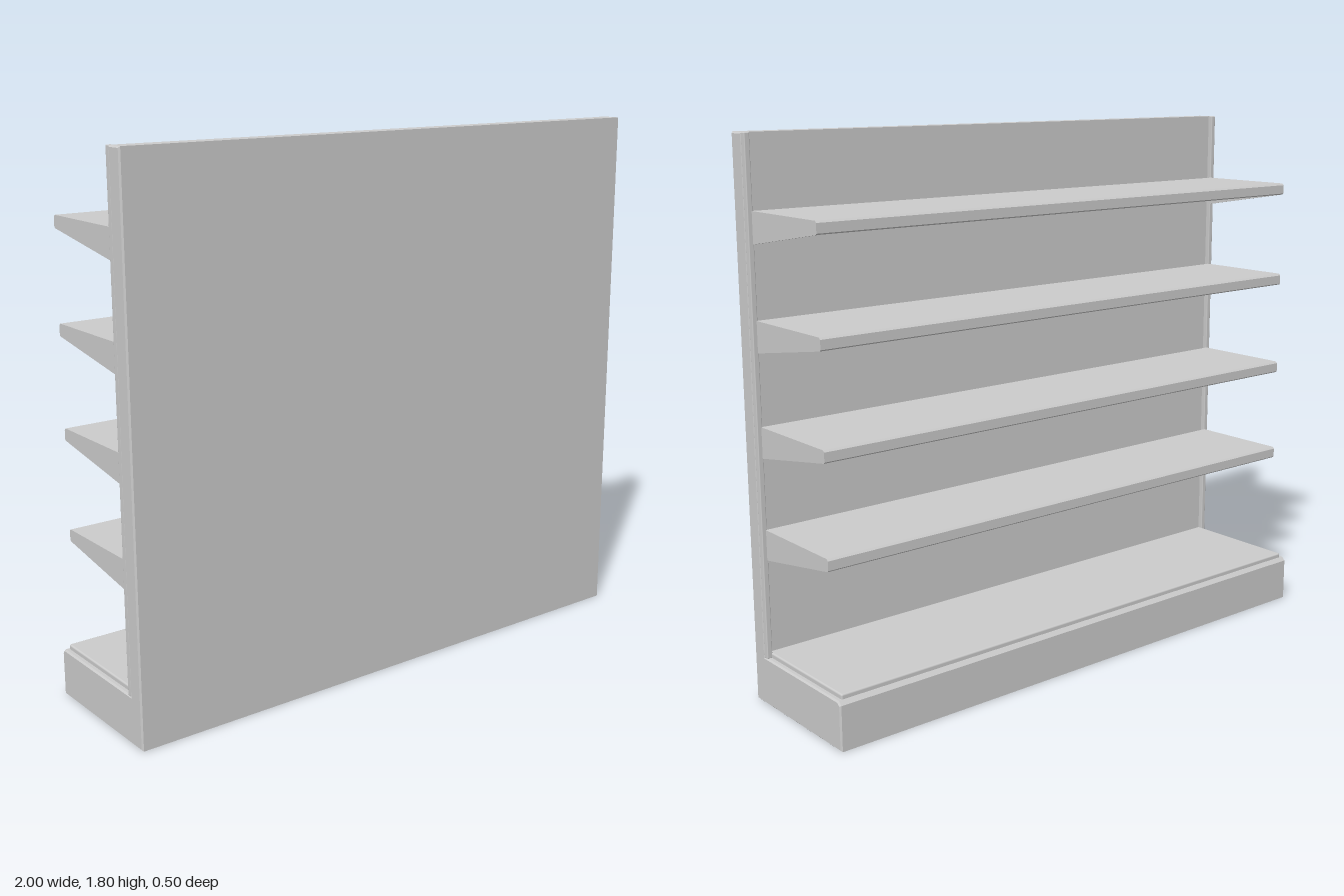
import * as THREE from 'three';
import { RoundedBoxGeometry } from 'three/addons/geometries/RoundedBoxGeometry.js';

const material = new THREE.MeshStandardMaterial({ color: 0xcccccc });

function add(parent, name, geometry, x = 0, y = 0, z = 0) {
  const mesh = new THREE.Mesh(geometry, material);
  mesh.name = name;
  mesh.position.set(x, y, z);
  parent.add(mesh);
  return mesh;
}

// Box given by its x, y and z ranges
function box(parent, name, [x0, x1], [y0, y1], [z0, z1], radius = 0) {
  const size = [x1 - x0, y1 - y0, z1 - z0];
  const geometry = radius ? new RoundedBoxGeometry(...size, 2, radius) : new THREE.BoxGeometry(...size);
  return add(parent, name, geometry, (x0 + x1) / 2, (y0 + y1) / 2, (z0 + z1) / 2);
}

// Extrudes a side profile of [z, y] points along x, centred on x = 0
function extrudeSide(points, width, bevel = 0) {
  const shape = new THREE.Shape(points.map(([z, y]) => new THREE.Vector2(-z, y)));
  const geometry = new THREE.ExtrudeGeometry(shape, {
    depth: width - 2 * bevel, bevelEnabled: bevel > 0,
    bevelSize: bevel, bevelThickness: bevel, bevelOffset: -bevel, bevelSegments: 1,
  });
  geometry.translate(0, 0, -width / 2 + bevel);
  geometry.rotateY(Math.PI / 2);
  return geometry;
}

function createShelf(top) {
  const shelf = new THREE.Group();
  shelf.name = 'shelf';
  shelf.position.y = top;
  const span = [-0.976, 0.976];

  // Folded sheet: flat top, chamfered front lip and return flange
  add(shelf, 'shelfSheet', extrudeSide([
    [0.175, 0], [-0.180, 0], [-0.186, -0.006], [-0.186, -0.036], [-0.182, -0.040],
    [-0.150, -0.040], [-0.150, -0.034], [-0.178, -0.034], [-0.178, -0.010], [0.175, -0.010],
  ], 1.952));

  // Stiffening rib and rear flange underneath
  box(shelf, 'stiffeningRib', span, [-0.028, -0.010], [-0.01, 0.03]);
  box(shelf, 'rearFlange', span, [-0.04, -0.010], [0.155, 0.175]);

  // Tapered brackets closing both ends
  for (const side of [-1, 1]) {
    add(shelf, 'shelfBracket', extrudeSide([
      [0.176, 0], [-0.180, 0], [-0.186, -0.006], [-0.186, -0.036], [-0.182, -0.040], [0.176, -0.1],
    ], 0.010), side * 0.980);
  }
  return shelf;
}

export function createModel() {
  const model = new THREE.Group();
  model.name = 'shelvingUnit';

  // Plinth and tall panel as one L-shaped body
  add(model, 'body', extrudeSide([
    [0.25, 0], [0.25, 1.805], [0.19, 1.805], [0.19, 0.16],
    [-0.238, 0.16], [-0.25, 0.148], [-0.25, 0],
  ], 2, 0.005));

  // Raised deck on the plinth
  box(model, 'baseDeck', [-0.984, 0.984], [0.15, 0.176], [-0.235, 0.192], 0.006);

  // Slim uprights at both ends of the panel
  for (const side of [-1, 1]) {
    const upright = new THREE.Group();
    upright.name = 'upright';
    model.add(upright);
    box(upright, 'uprightPost', [side * 0.99 - 0.009, side * 0.99 + 0.009], [0.158, 1.805], [0.173, 0.194], 0.003);
  }

  // Four evenly spaced shelves
  for (let i = 0; i < 4; i++) model.add(createShelf(0.585 + i * 0.33));
  return model;
}
